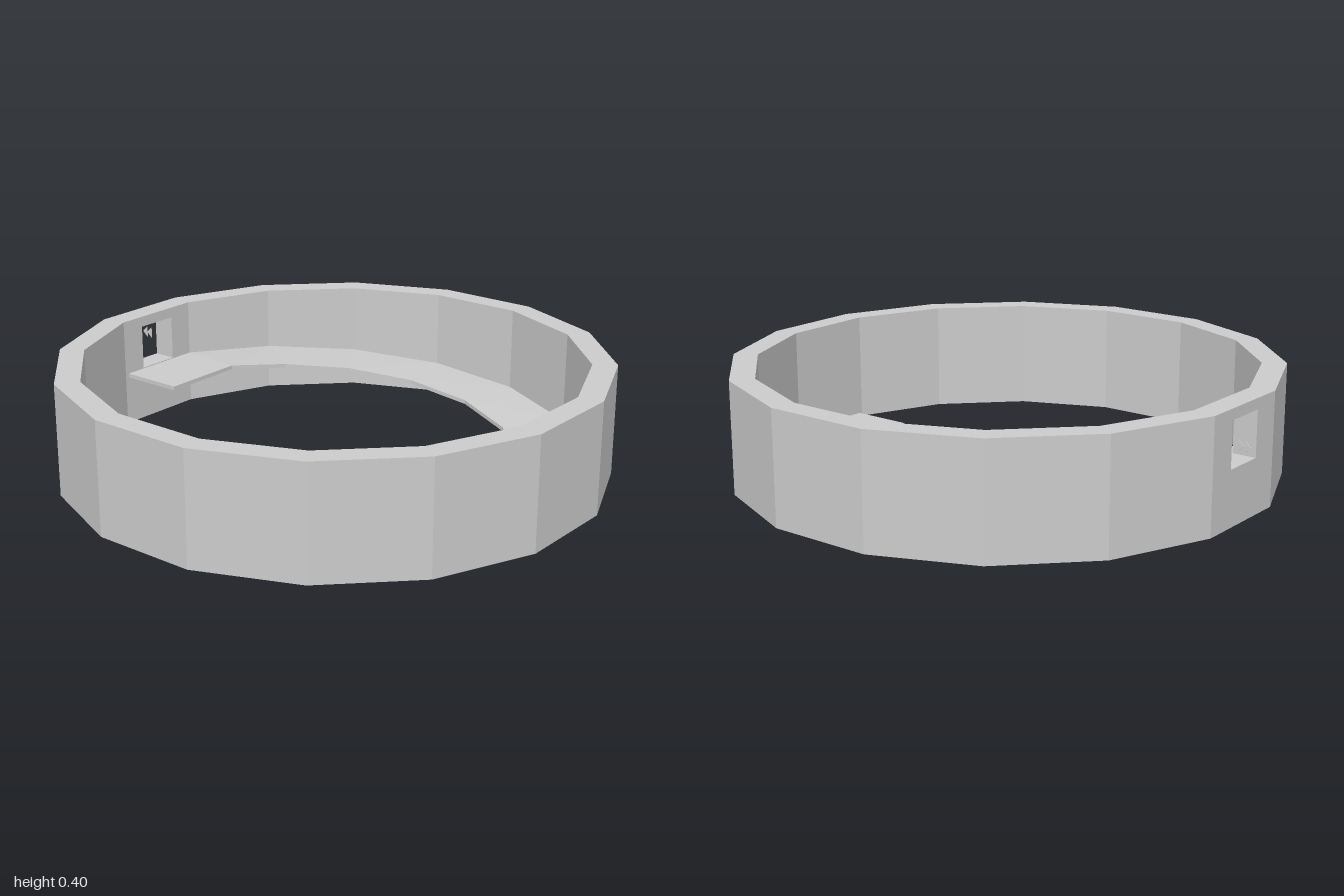
import * as THREE from 'three';

const SIDES = 16, STEP = (Math.PI * 2) / SIDES;
const OUTER = 0.967, INNER = 0.88, LEDGE = 0.64; // distances from centre to the flats
const HEIGHT = 0.404, DOOR = 0.08, SILL = 0.2, LINTEL = 0.365;

// corner k of a 16-sided ring, counted from the z axis towards +x
const corner = (flat, k) => {
  const r = flat / Math.cos(STEP / 2), a = (k + 0.5) * STEP;
  return [r * Math.sin(a), r * Math.cos(a)];
};

// wall plan, open at the doorway in the back flat, extruded upwards
function wallGeometry() {
  const outer = [], inner = [];
  for (let k = 0; k < SIDES; k++) {
    outer.push(corner(OUTER, k));
    inner.unshift(corner(INNER, k));
  }
  const plan = [[DOOR, OUTER], ...outer, [-DOOR, OUTER], [-DOOR, INNER], ...inner, [DOOR, INNER]];
  const shape = new THREE.Shape(plan.map(([x, y]) => new THREE.Vector2(x, y)));
  return new THREE.ExtrudeGeometry(shape, { depth: HEIGHT, bevelEnabled: false }).rotateX(-Math.PI / 2);
}

// thin ledge climbing from the floor at the front to the door sill at the back
function rampGeometry() {
  const thick = 0.015, low = 0.015, high = 0.197;
  const section = ([ox, oz], [ix, iz], y) => [
    [ox, y - thick, oz], [ox, y, oz], [ix, y, iz], [ix, y - thick, iz],
  ];
  const rows = [section([-0.16, INNER], [-0.16, LEDGE], low)];
  for (let k = 0; k < 8; k++) {
    const edge = corner(LEDGE, k);
    if (k === 0 || k === 7) edge[0] = 0.16;
    rows.push(section(corner(INNER, k), edge, low + ((high - low) * k) / 7));
  }
  rows.push(section([-0.16, -INNER], [-0.16, -LEDGE], high));

  const pos = [];
  const quad = (a, b, c, d) => pos.push(...a, ...b, ...c, ...a, ...c, ...d);
  for (let i = 0; i < rows.length - 1; i++) {
    for (let j = 0; j < 4; j++) {
      const n = (j + 1) % 4;
      quad(rows[i][j], rows[i + 1][j], rows[i + 1][n], rows[i][n]);
    }
  }
  const last = rows[rows.length - 1];
  quad(...rows[0]);
  quad(...last.slice().reverse());
  const geo = new THREE.BufferGeometry();
  geo.setAttribute('position', new THREE.Float32BufferAttribute(pos, 3));
  geo.computeVertexNormals();
  return geo;
}

export function createModel() {
  const stone = new THREE.MeshStandardMaterial({ color: 0xcccccc });
  stone.name = 'light grey';
  const model = new THREE.Group();
  model.name = 'ringWallWithRamp';
  const add = (name, geometry, x = 0, y = 0, z = 0.033) => {
    const mesh = new THREE.Mesh(geometry, stone);
    mesh.name = name;
    mesh.position.set(x, y, z);
    model.add(mesh);
  };

  add('ringWall', wallGeometry());
  add('ramp', rampGeometry());

  // wall below and above the doorway
  const wallZ = 0.033 - (OUTER + INNER) / 2;
  const block = (h) => new THREE.BoxGeometry(DOOR * 2, h, OUTER - INNER);
  add('doorSill', block(SILL), 0, SILL / 2, wallZ);
  add('doorLintel', block(HEIGHT - LINTEL), 0, (HEIGHT + LINTEL) / 2, wallZ);

  // two small thin arrowheads standing outside the doorway, pointing backwards
  for (const z of [-0.954, -0.977]) {
    const tri = new THREE.Shape([[0, -0.021], [0.023, 0], [0, 0.021]].map((p) => new THREE.Vector2(...p)));
    const geo = new THREE.ExtrudeGeometry(tri, { depth: 0.003, bevelEnabled: false }).rotateY(Math.PI / 2);
    add('arrowhead', geo, 0.073, 0.283, z);
  }
  return model;
}
